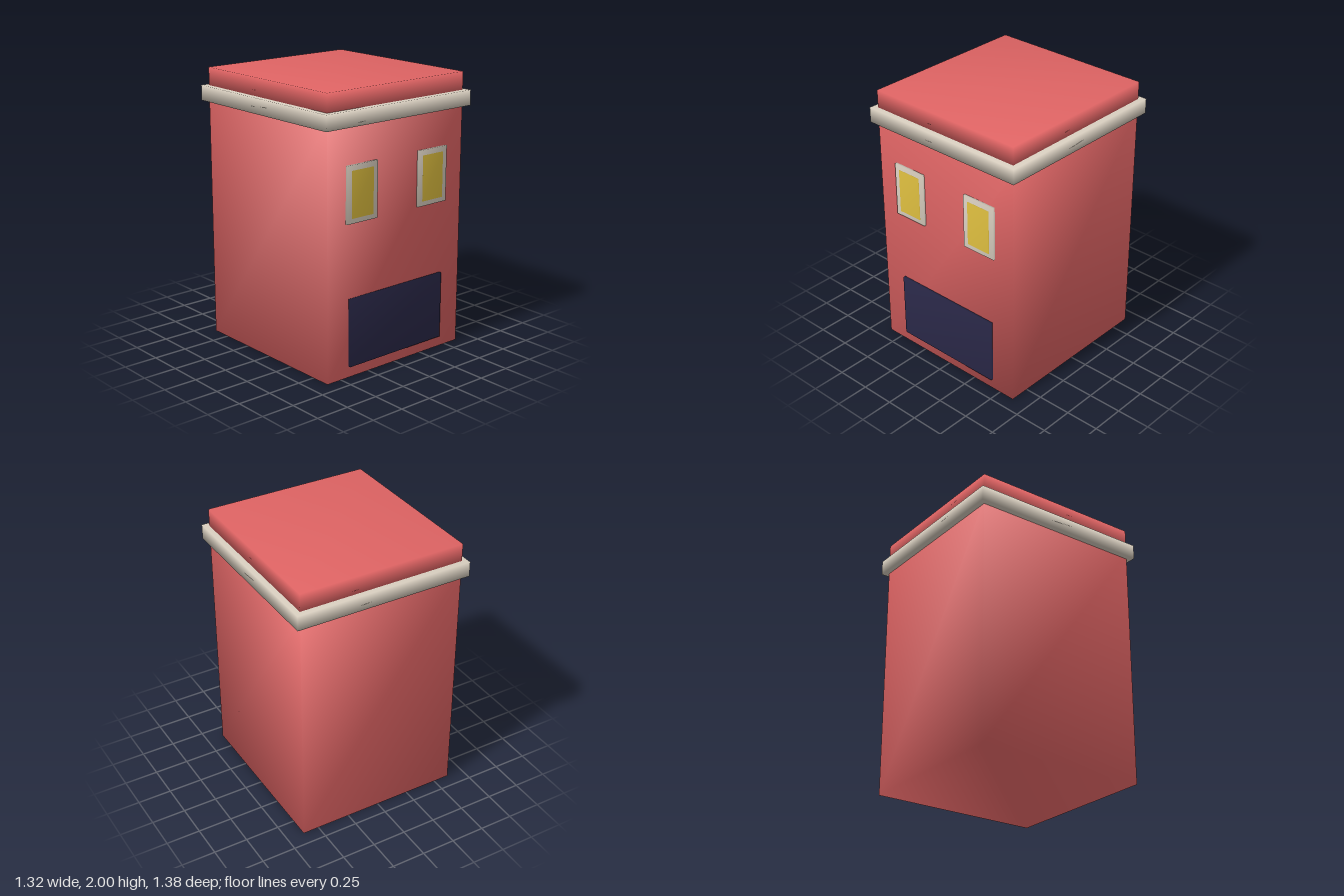
import * as THREE from 'three';
import { mergeVertices } from 'three/addons/utils/BufferGeometryUtils.js';

function material(name, hex) {
  const m = new THREE.MeshStandardMaterial({ color: hex });
  m.name = name;
  return m;
}

// Box given by its lower and upper corners, with smooth normals shared across its edges
function softBox(name, [x0, y0, z0], [x1, y1, z1], mat) {
  let geo = new THREE.BoxGeometry(x1 - x0, y1 - y0, z1 - z0);
  geo.deleteAttribute('normal');
  geo.deleteAttribute('uv');
  geo = mergeVertices(geo);
  geo.computeVertexNormals();
  geo.translate((x0 + x1) / 2, (y0 + y1) / 2, (z0 + z1) / 2);
  const mesh = new THREE.Mesh(geo, mat);
  mesh.name = name;
  return mesh;
}

export function createModel() {
  const wall = material('red wall', 0xe06464);
  const trim = material('pale stone', 0xd9cfc0);
  const glass = material('yellow glass', 0xe0c040);
  const dark = material('dark navy', 0x2a2848);

  const house = new THREE.Group();
  house.name = 'townhouse';
  const w = 0.62, d = 0.648; // half width and half depth of the walls

  // Walls, cornice and raised roof block
  house.add(
    softBox('walls', [-w, 0, -d], [w, 1.8, d], wall),
    softBox('cornice', [-0.66, 1.76, -0.688], [0.66, 1.87, 0.688], trim),
    softBox('parapet', [-w, 1.85, -d], [w, 2, d], wall),
  );

  // Wide shopfront opening
  house.add(softBox('shopfront', [-0.432, 0.08, d - 0.02], [0.432, 0.57, 0.666], dark));

  // Pair of framed windows
  for (const side of [-1, 1]) {
    const x = side * 0.325;
    const win = new THREE.Group();
    win.name = side > 0 ? 'leftWindow' : 'rightWindow';
    win.add(
      softBox('windowFrame', [x - 0.135, 1.1, d - 0.02], [x + 0.135, 1.5, 0.664], trim),
      softBox('windowGlass', [x - 0.095, 1.135, 0.659], [x + 0.095, 1.462, 0.668], glass),
    );
    house.add(win);
  }
  return house;
}
